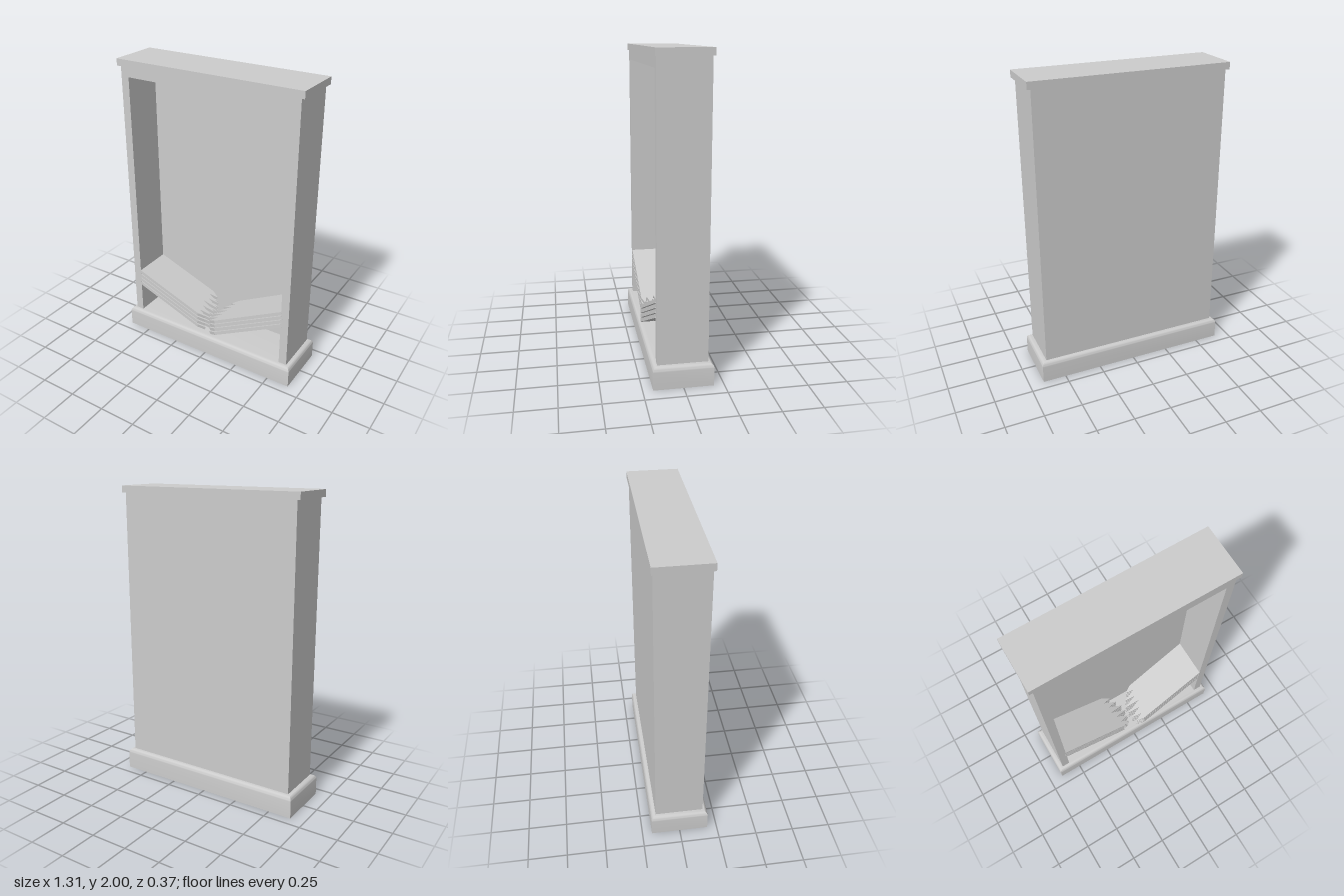
import * as THREE from 'three';
import { toCreasedNormals } from 'three/addons/utils/BufferGeometryUtils.js';

const material = new THREE.MeshStandardMaterial({ color: 0xcccccc, side: THREE.DoubleSide });

function part(name, geometry, parent) {
  const mesh = new THREE.Mesh(geometry, material);
  mesh.name = name;
  parent.add(mesh);
  return mesh;
}

function block(name, w, h, d, x, y, z, parent) {
  part(name, new THREE.BoxGeometry(w, h, d), parent).position.set(x, y, z);
}

// Rectangular plinth with a rounded top edge: a four-sided lathe pushed out to a rectangle
function plinthGeometry(hx, hz, height, r) {
  const profile = [new THREE.Vector2(0, 0), new THREE.Vector2(1, 0)];
  for (let i = 0; i <= 6; i++) {
    const a = (i / 6) * Math.PI / 2;
    profile.push(new THREE.Vector2(1 - r + r * Math.cos(a), height - r + r * Math.sin(a)));
  }
  profile.push(new THREE.Vector2(0, height));
  const geometry = new THREE.LatheGeometry(profile, 4, Math.PI / 4);
  const pos = geometry.attributes.position;
  for (let i = 0; i < pos.count; i++) {
    const x = pos.getX(i), z = pos.getZ(i), radius = Math.hypot(x, z);
    if (radius < 0.01) continue;
    pos.setX(i, Math.sign(x) * (hx - 1 + radius));
    pos.setZ(i, Math.sign(z) * (hz - 1 + radius));
  }
  return toCreasedNormals(geometry, 0.6);
}

// Broken board: dir is the way it runs from the wall, skew swings its free end forward
function boardGeometry(dir, length, skew, thickness) {
  const back = -0.11, front = 0.158;
  const teeth = [
    [0.80, 0.00], [0.89, 0.10], [0.79, 0.17], [0.95, 0.26], [0.82, 0.33], [0.99, 0.43],
    [0.80, 0.50], [1.00, 0.60], [0.84, 0.67], [0.99, 0.77], [0.86, 0.85], [0.96, 0.92], [0.87, 1.00],
  ];
  const outline = [[0, 0], ...teeth, [0, 1]].map(([u, v]) =>
    new THREE.Vector2(dir * u * length, back + v * (front - back) + skew * u * length));
  const geometry = new THREE.ExtrudeGeometry(new THREE.Shape(outline),
    { depth: thickness, bevelEnabled: false });
  return geometry.rotateX(Math.PI / 2);
}

export function createModel() {
  const model = new THREE.Group();
  model.name = 'brokenBookcase';

  // Base and cap
  part('base', plinthGeometry(0.655, 0.187, 0.145, 0.03), model);
  block('cap', 1.286, 0.045, 0.334, 0, 1.9775, 0, model);

  // Case: sides and top rail in one piece, closed by the back panel
  const frame = new THREE.Shape([
    [-0.62, 0.14], [-0.565, 0.14], [-0.565, 1.89], [0.565, 1.89],
    [0.565, 0.14], [0.62, 0.14], [0.62, 1.956], [-0.62, 1.956],
  ].map(([x, y]) => new THREE.Vector2(x, y)));
  const frameGeometry = new THREE.ExtrudeGeometry(frame, { depth: 0.267, bevelEnabled: false });
  part('caseFrame', frameGeometry.translate(0, 0, -0.11), model);
  block('backPanel', 1.24, 1.816, 0.047, 0, 1.048, -0.1335, model);

  // Two stacks of collapsed shelves, snapped in the middle
  const stacks = [
    { name: 'rightShelf', dir: 1, top: 0.48, angle: 0.364, skew: 0 },
    { name: 'leftShelf', dir: -1, top: 0.55, angle: 0.464, skew: 0.05 },
  ];
  for (const { name, dir, top, angle, skew } of stacks) {
    const stack = new THREE.Group();
    stack.name = name + 'Stack';
    const geometry = boardGeometry(dir, 0.563 / Math.cos(angle), skew, 0.023);
    for (let i = 0; i < 4; i++) {
      const board = part(name + (i + 1), geometry, stack);
      board.position.set(-dir * 0.565, top - i * 0.032, 0);
      board.rotation.z = -dir * angle;
    }
    model.add(stack);
  }
  return model;
}
